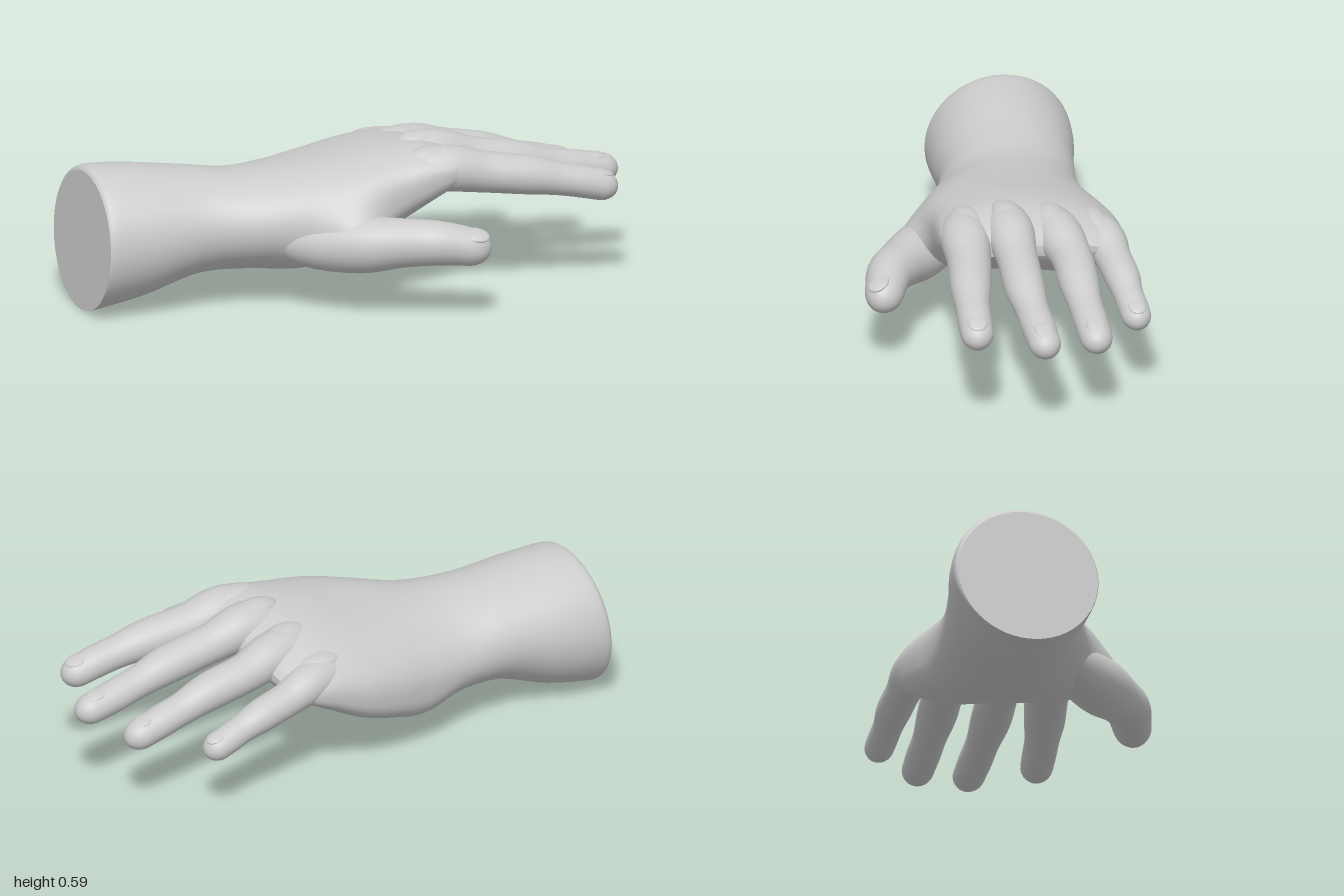
import * as THREE from 'three';

const SIDES = 28;
const skin = new THREE.MeshStandardMaterial({ color: 0xcccccc });

// Skin a list of closed rings (arrays of Vector3 running counter-clockwise about the path)
function loft(rings, name) {
  const n = rings[0].length, index = [];
  for (let i = 0; i < rings.length - 1; i++) {
    for (let j = 0; j < n; j++) {
      const a = i * n + j, b = i * n + (j + 1) % n;
      index.push(a, b, b + n, a, b + n, a + n);
    }
  }
  const geo = new THREE.BufferGeometry().setFromPoints(rings.flat());
  geo.setIndex(index);
  geo.computeVertexNormals();
  const mesh = new THREE.Mesh(geo, skin);
  mesh.name = name;
  return mesh;
}

// Ellipsoid for nails and knuckles
function ellipsoid(name, position, radii) {
  const mesh = new THREE.Mesh(new THREE.SphereGeometry(1, 24, 16), skin);
  mesh.name = name;
  mesh.position.set(...position);
  mesh.scale.set(...radii);
  return mesh;
}

const bell = (v, mid, width) => Math.exp(-(((v - mid) / width) ** 2));

// Smoothly interpolate rows of numbers at u in 0..1
function sampleRows(rows, u) {
  const t = u * (rows.length - 1), i = Math.min(Math.floor(t), rows.length - 2), f = t - i;
  const at = k => rows[Math.max(0, Math.min(rows.length - 1, k))];
  return rows[0].map((_, c) => {
    const [p, q, r, s] = [at(i - 1)[c], at(i)[c], at(i + 1)[c], at(i + 2)[c]];
    return q + 0.5 * f * (r - p + f * (2 * p - 5 * q + 4 * r - s + f * (3 * (q - r) + s - p)));
  });
}

// Forearm and palm stations: x, z min, z max, y min, y max, tilt towards the thumb side
const armRows = [
  [-0.983, -0.53, -0.01, 0.0, 0.515, 0],
  [-0.95, -0.54, 0.0, 0.005, 0.532, 0],
  [-0.8, -0.515, 0.02, 0.04, 0.525, 0],
  [-0.6, -0.46, 0.045, 0.11, 0.5, 0],
  [-0.42, -0.43, 0.115, 0.115, 0.485, 0.015],
  [-0.25, -0.437, 0.2, 0.103, 0.505, 0.035],
  [-0.1, -0.45, 0.25, 0.15, 0.53, 0.045],
  [0.05, -0.452, 0.256, 0.21, 0.555, 0.05],
  [0.18, -0.435, 0.27, 0.285, 0.565, 0.05],
  [0.27, -0.415, 0.275, 0.34, 0.55, 0.05],
  [0.33, -0.39, 0.25, 0.38, 0.52, 0.045],
  [0.355, -0.3, 0.17, 0.42, 0.475, 0.02],
];

function armRing(u) {
  const [x, z0, z1, y0, y1, tilt] = sampleRows(armRows, u);
  const yc = (y0 + y1) / 2, zc = (z0 + z1) / 2, rz = (z1 - z0) / 2;
  const ry = Math.sqrt(Math.max(0.0004, ((y1 - y0) / 2) ** 2 - tilt ** 2));
  const palm = THREE.MathUtils.smoothstep(x, -0.45, -0.15);
  const skew = 0.012 * (1 - THREE.MathUtils.smoothstep(x, -1, -0.75)); // slanted cut
  const ring = [];
  for (let j = 0; j < SIDES * 2; j++) {
    const a = j / SIDES * Math.PI, c = Math.cos(a), s = Math.sin(a);
    // the heel of the hand is flatter below than the back is above
    const cy = Math.sign(c) * Math.abs(c) ** (1 - (c < 0 ? 0.3 : 0.15) * palm);
    const sz = Math.sign(s) * Math.abs(s) ** (1 - 0.15 * palm);
    const z = zc + rz * sz, y = yc + ry * cy + tilt * sz;
    // hollow of the palm, and the thumb muscle swelling out of its side
    const hollow = Math.max(0, -c) * 0.03 * bell(x, 0.03, 0.15) * bell(z, -0.06, 0.13);
    const swell = Math.max(0, s) * 0.1 * bell(x, -0.14, 0.12) * bell(y, 0.29, 0.1);
    ring.push(new THREE.Vector3(x + skew * (cy - sz), y + hollow, z + swell));
  }
  return ring;
}

// Digit from stations of x, y, z, radius, with a rounded tip and a nail
function makeDigit(name, rows, up, tall) {
  const group = new THREE.Group();
  group.name = name;
  const end = new THREE.Vector3(...rows.at(-1));
  const frame = u => {
    const [x, y, z, r] = sampleRows(rows, u);
    const a = sampleRows(rows, Math.max(0, u - 0.02)), b = sampleRows(rows, Math.min(1, u + 0.02));
    const t = new THREE.Vector3(b[0] - a[0], b[1] - a[1], b[2] - a[2]).normalize();
    const v = t.clone().cross(up).normalize();
    const w = v.clone().cross(t);
    return { p: new THREE.Vector3(x, y, z), r, t, w, v };
  };
  const rings = [], steps = 44;
  for (let i = 0; i <= steps; i++) {
    const { p, r, w, v } = frame(1 - (1 - i / steps) ** 1.6);
    const d = p.distanceTo(end) / (r * 1.1);
    const k = r * (d < 1 ? Math.sqrt(Math.max(0, 1 - (1 - d) ** 2)) : 1);
    const ring = [];
    for (let j = 0; j < SIDES; j++) {
      const a = j / SIDES * Math.PI * 2;
      ring.push(p.clone().addScaledVector(w, k * tall * Math.cos(a)).addScaledVector(v, k * Math.sin(a)));
    }
    rings.push(ring);
  }
  group.add(loft(rings, 'flesh'));

  // nail: a flattened ellipsoid set into the upper side of the tip
  const { p, r, t, w, v } = frame(0.9);
  const nail = ellipsoid('nail', p.addScaledVector(w, r * tall * 0.82), [r * 0.72, r * 0.2, r * 0.6]);
  nail.quaternion.setFromRotationMatrix(new THREE.Matrix4().makeBasis(t, w, v));
  group.add(nail);
  return group;
}

// Stations run from inside the palm through knuckle, middle joint and last joint to the tip
const digits = {
  indexFinger: [[0.0, 0.46, 0.14, 0.045], [0.23, 0.49, 0.18, 0.088], [0.4, 0.462, 0.207, 0.08],
    [0.56, 0.438, 0.245, 0.075], [0.67, 0.415, 0.268, 0.064], [0.77, 0.393, 0.285, 0.062], [0.89, 0.358, 0.303, 0.057]],
  middleFinger: [[0.0, 0.475, 0.0, 0.045], [0.25, 0.503, 0.02, 0.088], [0.43, 0.468, 0.035, 0.075],
    [0.6, 0.435, 0.055, 0.074], [0.73, 0.403, 0.062, 0.062], [0.84, 0.379, 0.066, 0.062], [1.0, 0.348, 0.072, 0.056]],
  ringFinger: [[0.0, 0.455, -0.15, 0.045], [0.25, 0.471, -0.158, 0.086], [0.42, 0.44, -0.172, 0.075],
    [0.57, 0.41, -0.158, 0.073], [0.69, 0.375, -0.15, 0.062], [0.79, 0.35, -0.145, 0.062], [0.935, 0.31, -0.138, 0.056]],
  littleFinger: [[0.0, 0.405, -0.3, 0.045], [0.23, 0.42, -0.335, 0.078], [0.36, 0.388, -0.345, 0.066],
    [0.48, 0.363, -0.347, 0.064], [0.56, 0.338, -0.345, 0.055], [0.63, 0.316, -0.345, 0.055], [0.73, 0.282, -0.345, 0.052]],
  thumb: [[-0.42, 0.3, -0.04, 0.04], [-0.27, 0.265, 0.11, 0.09], [-0.12, 0.272, 0.25, 0.105],
    [0.0, 0.29, 0.352, 0.09], [0.09, 0.298, 0.42, 0.083], [0.18, 0.288, 0.46, 0.074], [0.285, 0.265, 0.505, 0.062]],
};

export function createModel() {
  const hand = new THREE.Group();
  hand.name = 'hand';

  // forearm, wrist and palm
  const rings = Array.from({ length: 67 }, (_, i) => armRing(i / 66));
  const centre = ring => ring.reduce((s, p) => s.add(p), new THREE.Vector3()).divideScalar(ring.length);
  const tip = centre(rings.at(-1));
  rings.push(rings.at(-1).map(() => tip.clone()));
  hand.add(loft(rings, 'forearmAndPalm'));

  // flat cut end of the forearm
  const mid = centre(rings[0]);
  hand.add(loft([rings[0].map(() => mid.clone()), rings[0].map(p => p.clone())], 'wristCut'));

  // fingers and thumb
  const upright = new THREE.Vector3(0, 1, 0), turned = new THREE.Vector3(-0.1, 0.92, 0.3).normalize();
  for (const [name, rows] of Object.entries(digits)) {
    const isThumb = name === 'thumb';
    hand.add(makeDigit(name, rows, isThumb ? turned : upright, isThumb ? 1 : 0.95));
  }

  // bony knuckles on the back of the hand
  for (const [x, y, z] of [[0.21, 0.54, 0.165], [0.23, 0.555, 0.02], [0.22, 0.522, -0.145], [0.19, 0.47, -0.31]]) {
    hand.add(ellipsoid('knuckle', [x, y, z], [0.09, 0.034, 0.055]));
  }
  return hand;
}
